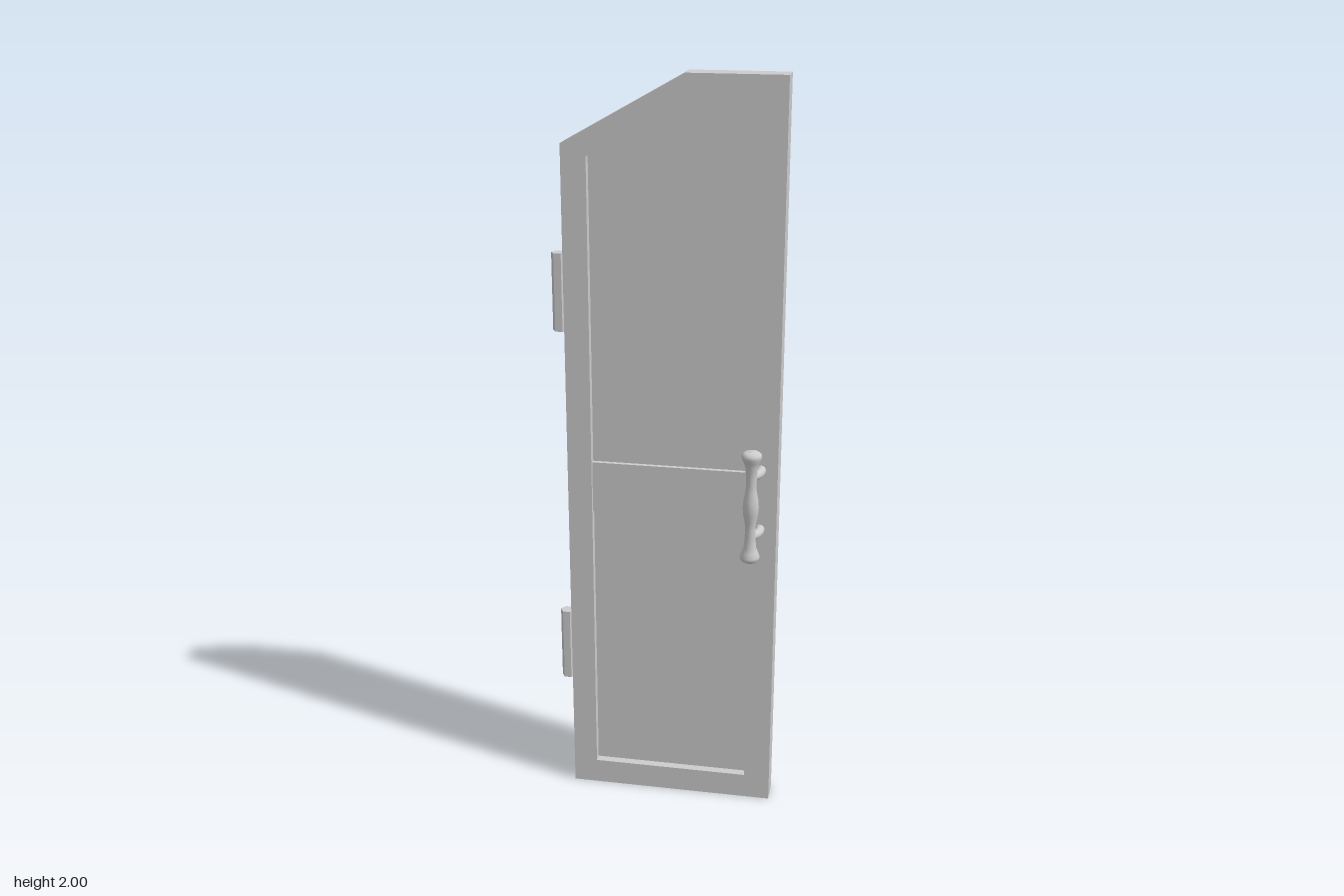
import * as THREE from 'three';

const BACK = -0.077, FRONT = -0.009, MID = (BACK + FRONT) / 2;

export function createModel() {
  const door = new THREE.Group();
  door.name = 'door';
  const flat = new THREE.MeshStandardMaterial({ color: 0xcccccc, flatShading: true });
  const smooth = new THREE.MeshStandardMaterial({ color: 0xcccccc });

  const add = (parent, name, geometry, material, x = 0, y = 0, z = 0) => {
    const mesh = new THREE.Mesh(geometry, material);
    mesh.name = name;
    mesh.position.set(x, y, z);
    parent.add(mesh);
    return mesh;
  };

  // Extrude an outline, centred on the middle plane of the door
  const slab = (name, shape, depth) => add(door, name,
    new THREE.ExtrudeGeometry(shape, { depth, bevelEnabled: false }), flat, 0, 0, MID - depth / 2);
  const points = (list) => list.map(([x, y]) => new THREE.Vector2(x, y));

  // Frame with a sloping top corner, and the recessed panel inside it
  const outer = points([[-0.262, 0], [0.3, 0], [0.3, 2], [0.05, 2], [-0.262, 1.825]]);
  const inner = points([[-0.197, 0.07], [0.23, 0.07], [0.23, 1.933], [0.05, 1.933], [-0.197, 1.795]]);
  const frame = new THREE.Shape(outer);
  frame.holes.push(new THREE.Path(inner));
  slab('frame', frame, FRONT - BACK);
  slab('panel', new THREE.Shape(inner), 0.022);

  // Middle rail, standing proud of the panel on both sides
  add(door, 'middleRail', new THREE.BoxGeometry(0.427, 0.14, 0.046), flat, 0.0165, 0.915, MID);

  // Hexagonal hinge barrels
  [['upperHinge', 1.442], ['lowerHinge', 0.427]].forEach(([name, y]) => {
    const barrel = new THREE.CylinderGeometry(0.0195, 0.0195, 0.206, 6);
    barrel.rotateY(Math.PI / 2);
    add(door, name, barrel, flat, -0.2805, y, MID);
  });

  // Turned handle grip: half profile (radius, height) mirrored about its middle
  const handle = new THREE.Group();
  handle.name = 'handle';
  door.add(handle);
  const half = [[0.021, 0], [0.0195, 0.02], [0.015, 0.042], [0.0135, 0.06], [0.0145, 0.09],
    [0.0165, 0.113], [0.0215, 0.126], [0.0262, 0.138], [0.0255, 0.146], [0.019, 0.152], [0, 0.155]];
  const profile = points([...half.slice(1).reverse().map(([r, y]) => [r, -y]), ...half]);
  add(handle, 'grip', new THREE.LatheGeometry(profile, 24), smooth, 0.238, 0.917, 0.049);

  // Curved posts joining the grip to the frame
  [['upperPost', 1.0], ['lowerPost', 0.833]].forEach(([name, y]) => {
    const path = new THREE.CatmullRomCurve3([
      new THREE.Vector3(0.256, 0, -0.014), new THREE.Vector3(0.257, 0, 0.006),
      new THREE.Vector3(0.252, 0, 0.027), new THREE.Vector3(0.239, 0, 0.047)]);
    add(handle, name, new THREE.TubeGeometry(path, 12, 0.0122, 14), smooth, 0, y, 0);
  });

  return door;
}
